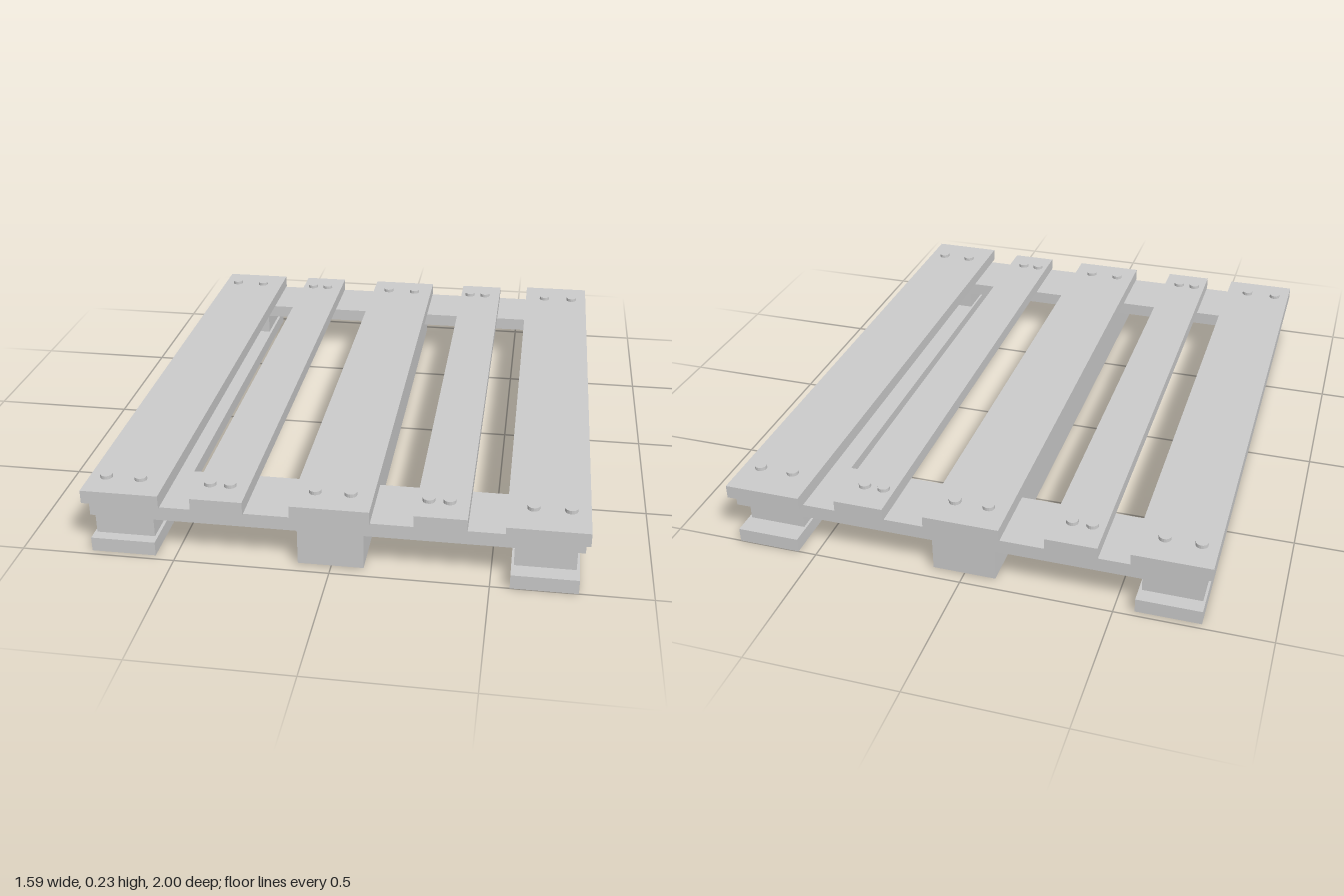
import * as THREE from 'three';

export function createModel() {
  const group = new THREE.Group();
  const material = new THREE.MeshStandardMaterial({ color: 0xcccccc, flatShading: true });

  // Plank given by its extents on each axis
  function plank(name, [x0, x1], [y0, y1], [z0, z1]) {
    const mesh = new THREE.Mesh(new THREE.BoxGeometry(x1 - x0, y1 - y0, z1 - z0), material);
    mesh.position.set((x0 + x1) / 2, (y0 + y1) / 2, (z0 + z1) / 2);
    mesh.name = name;
    group.add(mesh);
  }

  // Deck boards, each with a pair of nail heads at both ends
  const nail = new THREE.CylinderGeometry(0.02, 0.02, 0.02, 16);
  const boards = [
    { x: [-0.797, -0.545], z: [-0.98, 0.975], nails: [-0.742, -0.628] },
    { x: [-0.442, -0.275], z: [-0.98, 0.975], nails: [-0.4, -0.335] },
    { x: [-0.127, 0.124], z: [-0.98, 0.975], nails: [-0.061, 0.052] },
    { x: [0.26, 0.425], z: [-0.98, 0.975], nails: [0.297, 0.362] },
    { x: [0.541, 0.796], z: [-1, 1], nails: [0.62, 0.735] },
  ];
  for (const { x, z, nails } of boards) {
    plank('deckBoard', x, [0.172, 0.217], z);
    for (const nx of nails) {
      for (const nz of [-0.873, 0.877]) {
        const head = new THREE.Mesh(nail, material);
        head.position.set(nx, 0.219, nz);
        head.name = 'nailHead';
        group.add(head);
      }
    }
  }

  // Cross boards under the deck
  plank('backCrossBoard', [-0.775, 0.784], [0.125, 0.172], [-0.97, -0.732]);
  plank('frontCrossBoard', [-0.775, 0.784], [0.125, 0.172], [0.728, 0.965]);

  // Central beam
  plank('centreBeam', [-0.106, 0.104], [0.005, 0.139], [-0.957, 0.963]);

  // Bottom runners and the corner blocks standing on them
  const sides = [
    { runner: [-0.775, -0.565], block: [-0.767, -0.575], z: [-0.98, 0.98] },
    { runner: [0.562, 0.772], block: [0.57, 0.762], z: [-1, 1] },
  ];
  for (const { runner, block, z } of sides) {
    plank('bottomRunner', runner, [0, 0.048], z);
    plank('backCornerBlock', block, [0.048, 0.125], [-0.93, -0.735]);
    plank('frontCornerBlock', block, [0.048, 0.125], [0.748, 0.943]);
  }
  return group;
}
